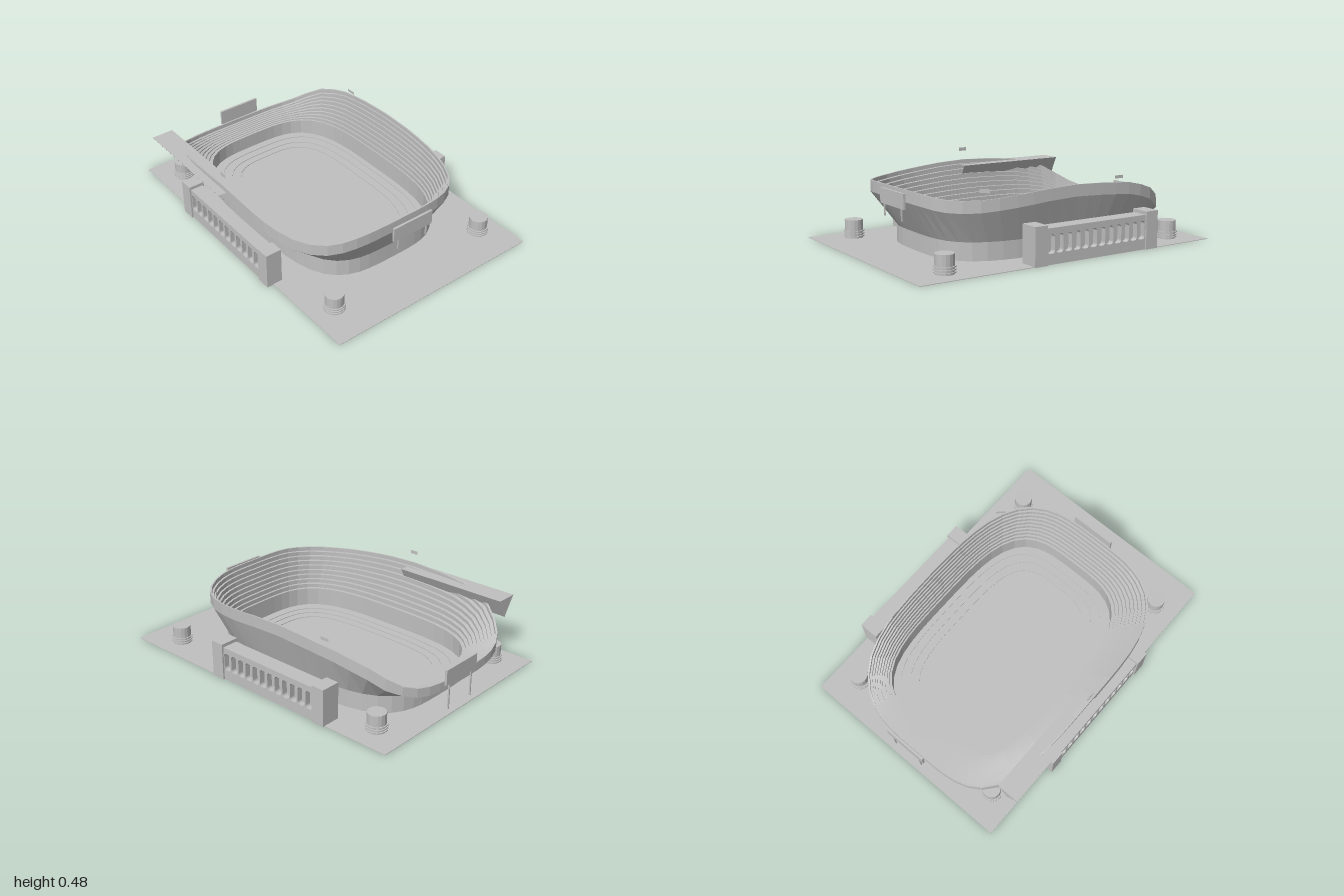
import * as THREE from 'three';

const concrete = new THREE.MeshStandardMaterial({ color: 0xc0c0c0, flatShading: true });
concrete.name = 'concrete grey';
const thin = new THREE.MeshStandardMaterial({ color: 0xc0c0c0, side: THREE.DoubleSide });
thin.name = 'concrete grey, thin sheet';

function add(parent, name, geo, x = 0, y = 0, z = 0, mat = concrete) {
  const m = new THREE.Mesh(geo, mat);
  m.name = name;
  m.position.set(x, y, z);
  parent.add(m);
  return m;
}

// Box given by its limits
function slab(parent, name, x0, x1, y0, y1, z0, z1) {
  return add(parent, name, new THREE.BoxGeometry(x1 - x0, y1 - y0, z1 - z0),
    (x0 + x1) / 2, (y0 + y1) / 2, (z0 + z1) / 2);
}

// Point on a rounded oval with limits [x0, x1, z0, z1]
function oval([x0, x1, z0, z1], ang, n = 3.6) {
  const c = Math.cos(ang), s = Math.sin(ang);
  const r = (Math.abs(c) ** n + Math.abs(s) ** n) ** (-1 / n);
  return [(x0 + x1) / 2 + r * c * (x1 - x0) / 2, (z0 + z1) / 2 + r * s * (z1 - z0) / 2];
}

// Skin between rings; each ring maps an angle to [x, y, z]
function loft(rings, seg = 56) {
  const pos = [], idx = [];
  for (const ring of rings)
    for (let j = 0; j < seg; j++) pos.push(...ring(j / seg * Math.PI * 2));
  for (let i = 0; i < rings.length - 1; i++)
    for (let j = 0; j < seg; j++) {
      const k = (j + 1) % seg, a = i * seg + j, d = i * seg + k;
      idx.push(a, a + seg, d + seg, a, d + seg, d);
    }
  const g = new THREE.BufferGeometry();
  g.setAttribute('position', new THREE.Float32BufferAttribute(pos, 3));
  g.setIndex(idx);
  const flat = g.toNonIndexed();
  flat.computeVertexNormals();
  return flat;
}

const DRUM = [-0.83, 0.63, -0.50, 0.49];
const INNER = [-0.79, 0.61, -0.485, 0.475];
const RIM = [-0.94, 0.74, -0.57, 0.67];
const LIP = [-0.93, 0.73, -0.562, 0.66];

// Rim height along x: low at one end, dipping slightly at the other corners
const RIM_HEIGHT = [[-0.94, 0.17], [-0.88, 0.20], [-0.73, 0.31], [-0.54, 0.372], [-0.3, 0.392],
  [-0.1, 0.4], [0.1, 0.392], [0.35, 0.37], [0.55, 0.355], [0.68, 0.36], [0.74, 0.38]];
function rimY(ang) {
  const x = oval(RIM, ang)[0];
  for (let i = 1; i < RIM_HEIGHT.length; i++) {
    const [xa, ya] = RIM_HEIGHT[i - 1], [xb, yb] = RIM_HEIGHT[i];
    if (x <= xb) return ya + (yb - ya) * Math.max(0, (x - xa) / (xb - xa));
  }
  return 0.38;
}

const level = (box, y) => (a) => {
  const [x, z] = oval(box, a);
  return [x, typeof y === 'function' ? y(a) : y, z];
};
const mix = (p, q, t) => p.map((v, i) => v + (q[i] - v) * t);
const rimFoot = (a) => rimY(a) - (rimY(a) < 0.25 ? 0.055 : 0.07);

function buildBowl(g) {
  add(g, 'drumWall', loft([level(DRUM, 0), level(DRUM, 0.11)]));
  add(g, 'outerBowl', loft([level(DRUM, 0.11), level(RIM, rimFoot)]));
  add(g, 'rimBand', loft([level(RIM, rimFoot), level(RIM, rimY), level(LIP, rimY)]));

  // Stepped seating, from the rim down to the pitch wall
  const steps = 9, rows = [level(LIP, rimY)];
  for (let k = steps; k > 0; k--) {
    const y = (a) => 0.11 + (rimY(a) - 0.025 - 0.11) * k / steps;
    rows.push(level(mix(INNER, LIP, k / steps), y), level(mix(INNER, LIP, (k - 1) / steps), y));
  }
  rows.push(level(INNER, 0.11));
  add(g, 'seatingTerraces', loft(rows));
  add(g, 'pitchWall', loft([level(INNER, 0.11), level(INNER, 0.02)]));

  // Pitch surrounded by shallow track steps
  const tracks = [INNER, [-0.74, 0.555, -0.45, 0.42], [-0.69, 0.51, -0.40, 0.37], [-0.645, 0.46, -0.35, 0.32]];
  const floor = [];
  tracks.forEach((box, i) => {
    if (i) floor.push(level(box, 0.024 - i * 0.004));
    floor.push(level(box, 0.02 - i * 0.004));
  });
  floor.push(() => [-0.0925, 0.008, -0.015]);
  add(g, 'pitchAndTracks', loft(floor));
}

// Entrance: two towers joined by an arcade of rounded openings
function buildGate(name, x0, x1, z0, z1) {
  const g = new THREE.Group();
  g.name = name;
  const w = 0.085, a = x0 + w, b = x1 - w, count = 12, pitch = (b - a) / count;
  slab(g, 'gateTower', x0, a, 0, 0.225, z0, z1);
  slab(g, 'gateTower', b, x1, 0, 0.225, z0, z1);
  const wall = new THREE.Shape([[a, 0], [b, 0], [b, 0.205], [a, 0.205]].map((p) => new THREE.Vector2(...p)));
  for (let i = 0; i < count; i++) {
    const c = a + (i + 0.5) * pitch, h = pitch * 0.42, r = 0.018;
    const hole = new THREE.Path();
    hole.absarc(c + h - r, 0.17 - r, r, 0, Math.PI / 2);
    hole.absarc(c - h + r, 0.17 - r, r, Math.PI / 2, Math.PI);
    hole.absarc(c - h + r, 0.062 + r, r, Math.PI, Math.PI * 1.5);
    hole.absarc(c + h - r, 0.062 + r, r, Math.PI * 1.5, Math.PI * 2);
    wall.holes.push(hole);
  }
  const depth = z1 - z0 - 0.02;
  add(g, 'arcade', new THREE.ExtrudeGeometry(wall, { depth, bevelEnabled: false, curveSegments: 4 }), 0, 0, z0 + 0.01);
  slab(g, 'arcadeBackWall', a, b, 0.05, 0.18, (z0 + z1) / 2 - 0.015, (z0 + z1) / 2 + 0.015);
  return g;
}

// Round ramp tower with walkway rings
function buildRampTower(x, z) {
  const g = new THREE.Group();
  g.name = 'rampTower';
  g.position.set(x, 0, z);
  add(g, 'towerDrum', new THREE.CylinderGeometry(0.055, 0.055, 0.115, 16), 0, 0.0575, 0);
  for (const y of [0.015, 0.03, 0.046])
    add(g, 'walkwayRing', new THREE.CylinderGeometry(0.063, 0.063, 0.006, 16), 0, y, 0);
  return g;
}

// Scoreboard on two posts
function buildScoreboard(x, foot, y0, y1) {
  const g = new THREE.Group();
  g.name = 'scoreboard';
  slab(g, 'scoreboardPanel', x - 0.007, x + 0.007, y0, y1, -0.15, 0.13);
  for (const z of [-0.115, 0.09])
    slab(g, 'scoreboardPost', x - 0.004, x + 0.004, foot, y0, z - 0.004, z + 0.004);
  return g;
}

// Wedge-shaped stand box, open at its inner end
function canopyGeometry() {
  const profile = [[0.37, 0.72], [0.37, 0.58], [0.25, 0.64]];
  const pos = [], idx = [0, 1, 2];
  for (const x of [-0.81, -0.06]) for (const [y, z] of profile) pos.push(x, y, z);
  for (let i = 0; i < 3; i++) {
    const j = (i + 1) % 3;
    idx.push(i, i + 3, j + 3, i, j + 3, j);
  }
  const g = new THREE.BufferGeometry();
  g.setAttribute('position', new THREE.Float32BufferAttribute(pos, 3));
  g.setIndex(idx);
  const flat = g.toNonIndexed();
  flat.computeVertexNormals();
  return flat;
}

export function createModel() {
  const model = new THREE.Group();
  model.name = 'stadium';
  slab(model, 'groundSlab', -1, 1, 0, 0.003, -0.71, 0.68);

  const bowl = new THREE.Group();
  bowl.name = 'bowl';
  buildBowl(bowl);
  model.add(bowl);
  add(model, 'pressBox', canopyGeometry());

  model.add(buildGate('frontGate', -0.485, 0.40, 0.62, 0.72));
  model.add(buildGate('backGate', -0.58, 0.295, -0.72, -0.60));
  for (const [x, z] of [[-0.81, -0.55], [0.765, -0.56], [0.765, 0.53], [-0.81, 0.525]])
    model.add(buildRampTower(x, z));
  model.add(buildScoreboard(0.777, 0.21, 0.28, 0.37));
  model.add(buildScoreboard(-0.96, 0, 0.16, 0.255));

  // Floodlight panels above the rim
  for (const [x, y, z, w, h, turn] of [[-0.43, 0.412, -0.545, 0.06, 0.018, 0],
    [-0.097, 0.469, 0.662, 0.052, 0.022, 0], [0.48, 0.408, -0.508, 0.058, 0.022, -Math.PI / 4]])
    add(model, 'floodlightPanel', new THREE.PlaneGeometry(w, h), x, y, z, thin).rotation.y = turn;
  return model;
}
